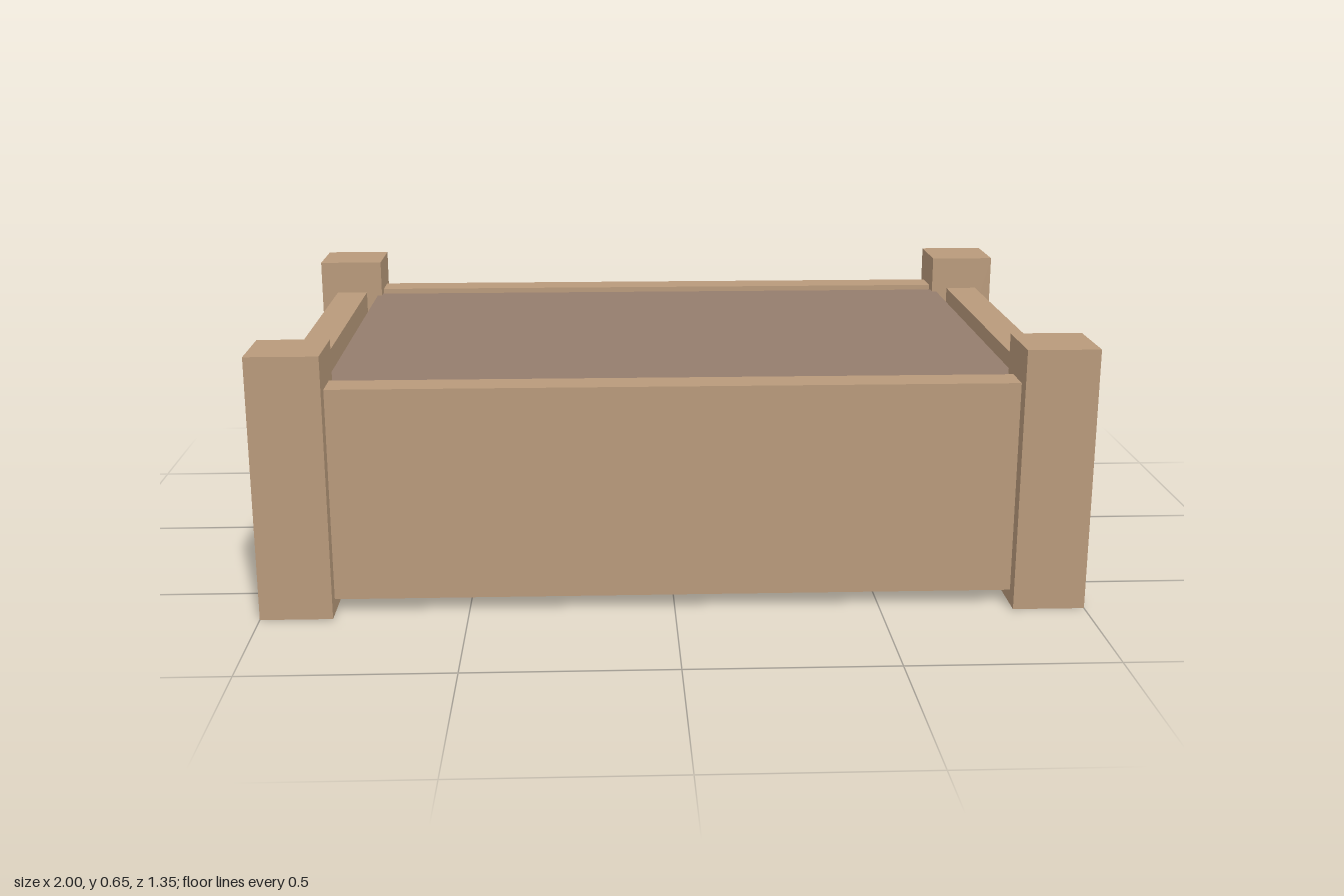
import * as THREE from 'three';

const wood = new THREE.MeshStandardMaterial({ color: 0xb99a7b });
wood.name = 'wood';
const soilBrown = new THREE.MeshStandardMaterial({ color: 0x957d6d });
soilBrown.name = 'soil brown';

// Box given by its centre in plan, its footprint and its bottom and top heights
function block(name, material, x, z, width, depth, bottom, top) {
  const mesh = new THREE.Mesh(new THREE.BoxGeometry(width, top - bottom, depth), material);
  mesh.name = name;
  mesh.position.set(x, (bottom + top) / 2, z);
  return mesh;
}

export function createModel() {
  const planter = new THREE.Group();
  planter.name = 'raisedGardenBed';

  const post = 0.175, postX = 0.9125, postZ = 0.5875;
  const board = 0.086, boardX = 0.912, boardZ = 0.592;

  for (const side of [-1, 1]) {
    const sideName = side > 0 ? 'left' : 'right';
    const endName = side > 0 ? 'front' : 'back';

    // Corner posts
    for (const end of [-1, 1]) {
      const name = (end > 0 ? 'front' : 'back') + (side > 0 ? 'Left' : 'Right') + 'Post';
      planter.add(block(name, wood, side * postX, end * postZ, post, post, 0, 0.65));
    }

    // Boards between the posts
    planter.add(block(endName + 'Board', wood, 0, side * boardZ, 1.65, board, 0.035, 0.56));
    planter.add(block(sideName + 'Board', wood, side * boardX, 0, board, 1.0, 0.035, 0.56));
  }

  // Soil filling, slightly clear of the boards
  planter.add(block('soil', soilBrown, 0, 0, 1.675, 1.055, 0.085, 0.55));

  return planter;
}
